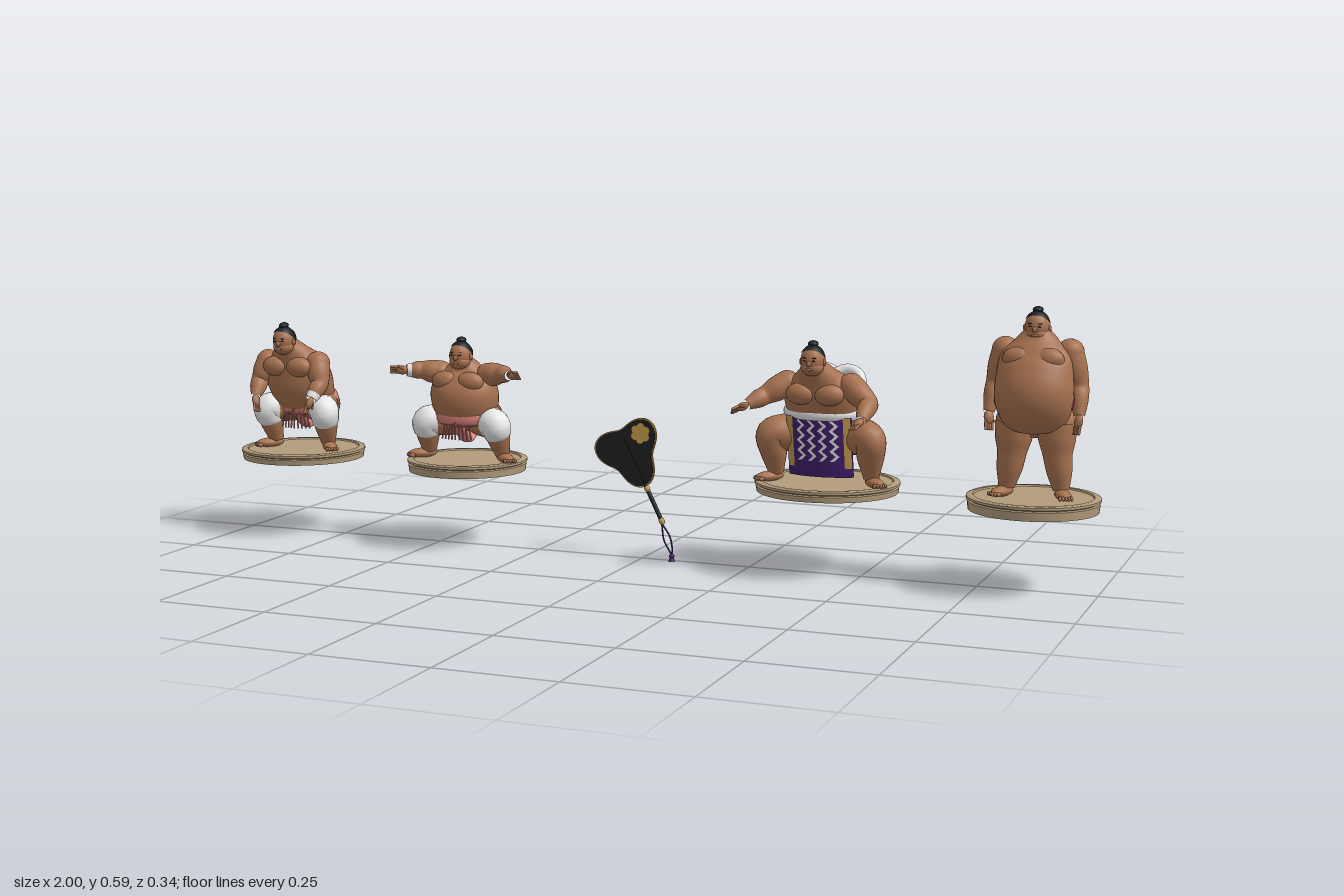
import * as THREE from 'three';
import { toCreasedNormals } from 'three/addons/utils/BufferGeometryUtils.js';

const mat = (name, color, side = THREE.FrontSide) => {
  const m = new THREE.MeshStandardMaterial({ color, side });
  m.name = name;
  return m;
};
const M = {
  skin: mat('skin', 0xa87250),
  hair: mat('black', 0x1f1f21),
  tan: mat('stand tan', 0xb39c7c),
  maroon: mat('maroon', 0x80303f),
  pink: mat('pink', 0xd9807a),
  white: mat('white', 0xececec, THREE.DoubleSide),
  purple: mat('purple', 0x42206e, THREE.DoubleSide),
  gold: mat('gold', 0xc09a48, THREE.DoubleSide),
};
const V = (p) => new THREE.Vector3(p[0], p[1], p[2]);

function add(parent, name, geo, material, pos = [0, 0, 0]) {
  const m = new THREE.Mesh(geo, material);
  m.name = name;
  m.position.set(...pos);
  parent.add(m);
  return m;
}
function ball(parent, name, material, pos, scale, w = 20, h = 14) {
  return add(parent, name, new THREE.SphereGeometry(1, w, h).scale(...scale), material, pos);
}

// Smooth tube through sections [x, y, z, radiusA, radiusB]
function sweep(sections, ref, steps = 24, around = 20) {
  const path = new THREE.CatmullRomCurve3(sections.map(V));
  const size = new THREE.CatmullRomCurve3(sections.map((s) => V([s[3], s[4] ?? s[3], 0])), false, 'catmullrom', 0.4);
  const pos = [], idx = [];
  for (let i = 0; i <= steps; i++) {
    const t = i / steps, c = path.getPoint(t), d = path.getTangent(t), r = size.getPoint(t);
    const a = V(ref).addScaledVector(d, -V(ref).dot(d)).normalize();
    const b = d.clone().cross(a);
    for (let j = 0; j < around; j++) {
      const u = (j / around) * Math.PI * 2;
      const p = c.clone().addScaledVector(a, Math.cos(u) * Math.max(r.x, 0.0005)).addScaledVector(b, Math.sin(u) * Math.max(r.y, 0.0005));
      pos.push(p.x, p.y, p.z);
      if (i < steps) {
        const k = i * around + j, n = i * around + ((j + 1) % around);
        idx.push(k, n, k + around, n, n + around, k + around);
      }
    }
  }
  const g = new THREE.BufferGeometry();
  g.setAttribute('position', new THREE.Float32BufferAttribute(pos, 3));
  g.setIndex(idx);
  g.computeVertexNormals();
  return g;
}
const LIMB = [0, 0.3, 0.95];
const mix = (a, b, t) => a.map((v, i) => v + (b[i] - v) * t);

// Round stand with a moulded edge and a shallow rim
function stand(parent, r, t) {
  const pts = [[0, -t], [r - 0.004, -t], [r - 0.002, -0.012], [r - 0.006, -0.01], [r, -0.007], [r, -0.002],
    [r - 0.004, 0], [r - 0.014, 0], [r - 0.016, -0.003], [0, -0.003]].map((p) => new THREE.Vector2(...p));
  add(parent, 'stand', toCreasedNormals(new THREE.LatheGeometry(pts, 64), 0.5), M.tan);
}

function head(parent, pos, tilt) {
  const g = new THREE.Group();
  g.name = 'head';
  g.position.set(...pos);
  g.rotation.x = tilt;
  parent.add(g);
  ball(g, 'skull', M.skin, [0, 0, 0], [0.025, 0.031, 0.027]);
  ball(g, 'jaw', M.skin, [0, -0.014, 0.005], [0.024, 0.018, 0.021]);
  ball(g, 'nose', M.skin, [0, -0.004, 0.027], [0.005, 0.006, 0.005], 10, 8);
  ball(g, 'lips', M.skin, [0, -0.016, 0.025], [0.007, 0.003, 0.003], 10, 8);
  const cap = new THREE.SphereGeometry(1, 24, 12, 0, Math.PI * 2, 0, 1.4).rotateX(-0.65).scale(0.0268, 0.033, 0.029);
  add(g, 'hair', cap, M.hair);
  ball(g, 'hairBack', M.hair, [0, 0.004, -0.015], [0.022, 0.022, 0.016]);
  ball(g, 'topknot', M.hair, [0, 0.034, -0.004], [0.011, 0.007, 0.013], 14, 10);
  for (const s of [-1, 1]) {
    ball(g, 'ear', M.skin, [s * 0.025, -0.003, 0], [0.004, 0.008, 0.005], 10, 8);
    ball(g, 'eye', M.hair, [s * 0.009, 0.002, 0.0245], [0.004, 0.0014, 0.002], 8, 6);
    ball(g, 'brow', M.hair, [s * 0.01, 0.008, 0.0235], [0.005, 0.0011, 0.002], 8, 6);
  }
}

function hand(parent, wrist, dir, s) {
  const g = new THREE.Group();
  g.name = 'hand';
  g.position.set(...wrist);
  g.quaternion.setFromUnitVectors(new THREE.Vector3(0, 1, 0), dir);
  parent.add(g);
  ball(g, 'palm', M.skin, [0, 0.01, 0], [0.011, 0.015, 0.008], 12, 10);
  for (let i = 0; i < 4; i++) {
    add(g, 'finger', new THREE.CapsuleGeometry(0.0029, 0.014, 3, 8), M.skin, [(i - 1.5) * 0.0052, 0.028, 0]);
  }
  const thumb = add(g, 'thumb', new THREE.CapsuleGeometry(0.003, 0.01, 3, 8), M.skin, [-s * 0.011, 0.014, 0.005]);
  thumb.rotation.z = s * 0.6;
}

function foot(parent, ankle, yaw) {
  const g = new THREE.Group();
  g.name = 'foot';
  g.position.set(ankle[0], 0, ankle[2]);
  g.rotation.y = yaw;
  parent.add(g);
  ball(g, 'sole', M.skin, [0, 0.007, 0.016], [0.016, 0.011, 0.034], 16, 10);
  for (let i = 0; i < 5; i++) ball(g, 'toe', M.skin, [(i - 2) * 0.006, 0.004, 0.047 - Math.abs(i - 2) * 0.002], [0.0036, 0.005, 0.007], 8, 6);
}

function belt(parent, material, [y, z, rx, rz, h, tilt]) {
  const g = new THREE.TorusGeometry(1, 0.12, 12, 48).rotateX(Math.PI / 2).scale(rx, h / 0.24, rz);
  add(parent, 'belt', g, material, [0, y, z]).rotation.x = tilt;
  // strap running between the legs, with a knot at the back
  const strap = [[0, y, z + rz], [0, y - 0.035, z + rz * 0.6], [0, y - 0.06, z], [0, y - 0.035, z - rz * 0.75], [0, y, z - rz * 1.08]];
  add(parent, 'strap', sweep(strap.map((p) => [...p, 0.014, 0.006]), [1, 0, 0], 20, 10), material);
  ball(parent, 'knot', material, [0, y + tilt * rz, z - rz * 1.1], [0.016, h * 0.5, 0.007], 12, 8);
}

// One wrestler: torso sections [y, z, rx, rz], arms and legs as joint positions
function wrestler(o) {
  const g = new THREE.Group();
  g.name = o.name;
  g.position.set(o.x, 0.2, o.z);
  stand(g, o.r, o.t);
  add(g, 'torso', sweep(o.torso.map(([y, z, a, b]) => [0, y, z, a, b]), [1, 0, 0], 40, 36), M.skin);
  head(g, o.head, o.tilt);
  for (const s of [-1, 1]) {
    const side = (p) => [p[0] * s, p[1], p[2]];
    const [sh, el, wr, tip] = (s < 0 && o.armRight ? o.armRight : o.arm).map(side);
    const arm = [[...sh, 0.027], [...mix(sh, el, 0.5), 0.026], [...el, 0.02], [...mix(el, wr, 0.4), 0.019], [...wr, 0.011]];
    add(g, 'arm', sweep(arm, LIMB), M.skin);
    ball(g, 'shoulder', M.skin, sh, [0.028, 0.027, 0.027]);
    hand(g, wr, V(tip).sub(V(wr)).normalize(), s);
    if (o.wristband === s) add(g, 'wristband', sweep([[...mix(el, wr, 0.7), 0.0165], [...wr, 0.0135]], LIMB, 4), M.white);

    const [hip, kn, an] = o.leg.map(side);
    const [rh, rk] = o.legSize;
    const leg = [[...hip, rh], [...mix(hip, kn, 0.5), (rh + rk) / 2 + 0.002], [...kn, rk], [...mix(kn, an, 0.45), rk * 0.88], [...an, 0.017]];
    add(g, 'leg', sweep(leg, LIMB, 30), M.skin);
    ball(g, 'buttock', M.skin, [hip[0], hip[1], hip[2] - 0.008], [rh, rh, rh]);
    foot(g, an, s * o.yaw);
    if (o.pads) {
      const pad = [[...mix(hip, kn, 0.5), rk * 0.8], [...mix(hip, kn, 0.7), rk * 1.14], [...kn, rk * 1.12], [...mix(kn, an, 0.35), rk], [...mix(kn, an, 0.5), rk * 0.7]];
      add(g, 'kneePad', sweep(pad, LIMB), M.white);
    }
    ball(g, 'chest', M.skin, [s * 0.031, o.chest[0], o.chest[1]], [0.032, 0.023, 0.02]);
  }
  if (o.belt) belt(g, o.beltColor, o.belt);
  // hanging cords at the front of the belt
  if (o.cords) for (let i = -4; i <= 4; i++) {
    const c = add(g, 'beltCord', new THREE.CylinderGeometry(0.0018, 0.0018, 0.045, 6), M.pink, [i * 0.008, 0.07, o.cords - Math.abs(i) * 0.002]);
    c.rotation.z = i * 0.05;
  }
  return g;
}

// Waist rope with raised loops, and the decorated apron
function ceremonialDress(g) {
  add(g, 'waistRope', new THREE.TorusGeometry(1, 0.15, 14, 48).rotateX(Math.PI / 2).scale(0.078, 0.09, 0.062), M.white, [0, 0.15, 0.022]);
  for (const s of [-1, 1]) {
    add(g, 'ropeLoop', new THREE.TorusGeometry(0.033, 0.012, 12, 32), M.white, [s * 0.026, 0.203, -0.044 + s * 0.003]).rotation.x = -0.55;
  }
  const bend = (geo, lift) => {
    const p = geo.attributes.position;
    for (let i = 0; i < p.count; i++) {
      const x = p.getX(i), y = p.getY(i);
      p.setZ(i, 0.06 + y * 0.2 - 4 * x * x + lift);
    }
    geo.computeVertexNormals();
    return geo;
  };
  add(g, 'apron', bend(new THREE.PlaneGeometry(0.142, 0.13, 14, 6).translate(0, 0.08, 0), 0), M.purple);
  for (const s of [-1, 1]) add(g, 'apronEdge', bend(new THREE.PlaneGeometry(0.014, 0.11, 4, 6).translate(s * 0.062, 0.09, 0), 0.002), M.gold);
  for (const x of [-0.036, -0.012, 0.012, 0.036]) {
    const left = [], right = [];
    for (let i = 0; i <= 8; i++) {
      const zx = x + (i % 2 ? 0.006 : -0.006), y = 0.05 + i * 0.011;
      left.push(new THREE.Vector2(zx - 0.004, y));
      right.unshift(new THREE.Vector2(zx + 0.004, y));
    }
    add(g, 'zigzag', bend(new THREE.ShapeGeometry(new THREE.Shape([...left, ...right])), 0.002), M.white);
  }
  add(g, 'understrap', sweep([[0, 0.13, 0.07, 0.02, 0.006], [0, 0.075, 0.03, 0.016, 0.006], [0, 0.1, -0.03, 0.014, 0.006], [0, 0.15, -0.04, 0.014, 0.006]], [1, 0, 0], 16, 10), M.white);
}

// Three-lobed fan with handle, cords and tassel
function fan() {
  const root = new THREE.Group();
  root.name = 'fan';
  const g = new THREE.Group();
  g.name = 'fanBody';
  g.position.set(-0.026, 0.238, 0.005);
  g.rotation.z = 0.46;
  root.add(g);
  const plate = (k, depth) => {
    const pts = [];
    for (let i = 0; i < 72; i++) {
      const u = (i / 72) * Math.PI * 2, r = k * (0.066 + 0.015 * Math.cos(3 * (u - Math.PI / 6)));
      pts.push(new THREE.Vector2(r * Math.cos(u), r * Math.sin(u)));
    }
    return new THREE.ExtrudeGeometry(new THREE.Shape(pts), { depth, bevelEnabled: false }).translate(0, 0, -depth / 2);
  };
  add(g, 'fanFace', plate(1, 0.009), M.hair);
  add(g, 'fanRim', plate(1.04, 0.006), M.gold);
  for (const f of [-1, 1]) {
    const c = [f * 0.042, 0.026, f * 0.005];
    const disc = (r) => new THREE.CylinderGeometry(r, r, 0.002, 20).rotateX(Math.PI / 2);
    for (let i = 0; i < 6; i++) add(g, 'petal', disc(0.009), M.gold, [c[0] + 0.014 * Math.cos(i * 1.047), c[1] + 0.014 * Math.sin(i * 1.047), c[2]]);
    add(g, 'flowerCentre', disc(0.008), M.gold, c);
    add(g, 'spine', new THREE.BoxGeometry(0.004, 0.11, 0.002), M.hair, [0, -0.025, f * 0.005]);
  }
  add(g, 'handle', new THREE.CylinderGeometry(0.0048, 0.0048, 0.1, 12), M.hair, [0, -0.12, 0]);
  for (const y of [-0.09, -0.168]) ball(g, 'collar', M.gold, [0, y, 0], [0.0065, 0.009, 0.0065], 12, 10);
  for (const s of [-1, 1]) {
    const c = new THREE.CatmullRomCurve3([[0.049, 0.083, 0.006], [0.061 + s * 0.007, 0.05 + s * 0.004, 0.006], [0.069 + s * 0.005, 0.028, 0.007], [0.073, 0.014, 0.007]].map(V));
    add(root, 'cord', new THREE.TubeGeometry(c, 20, 0.0018, 6), M.purple);
  }
  ball(root, 'tasselKnot', M.purple, [0.073, 0.011, 0.007], [0.006, 0.006, 0.006], 12, 8);
  add(root, 'tassel', new THREE.CylinderGeometry(0.004, 0.008, 0.008, 12), M.purple, [0.073, 0.004, 0.007]);
  return root;
}

export function createModel() {
  const model = new THREE.Group();
  model.name = 'wrestlerSet';
  model.add(wrestler({
    name: 'crouchingWrestler', x: -0.857, z: 0, r: 0.143, t: 0.024,
    torso: [[0.065, -0.025, 0.01, 0.01], [0.085, -0.025, 0.055, 0.045], [0.12, -0.012, 0.072, 0.06], [0.16, 0.01, 0.08, 0.062], [0.2, 0.03, 0.077, 0.048], [0.228, 0.048, 0.045, 0.032], [0.25, 0.066, 0.022, 0.022]],
    head: [0, 0.257, 0.075], tilt: 0.1, chest: [0.195, 0.064],
    arm: [[0.066, 0.203, 0.038], [0.08, 0.158, 0.055], [0.074, 0.125, 0.085], [0.066, 0.1, 0.094]], wristband: 1,
    leg: [[0.036, 0.098, -0.02], [0.075, 0.09, 0.03], [0.07, 0.015, 0.005]], legSize: [0.042, 0.03], yaw: 0.7, pads: true,
    beltColor: M.pink, belt: [0.108, -0.02, 0.069, 0.056, 0.034, 0.25], cords: 0.04,
  }));
  model.add(wrestler({
    name: 'balancingWrestler', x: -0.428, z: 0, r: 0.136, t: 0.028,
    torso: [[0.06, -0.005, 0.01, 0.01], [0.08, -0.005, 0.055, 0.045], [0.11, 0.002, 0.074, 0.06], [0.145, 0.01, 0.08, 0.064], [0.18, 0.01, 0.072, 0.05], [0.205, 0.012, 0.045, 0.032], [0.225, 0.02, 0.022, 0.022]],
    head: [0, 0.236, 0.027], tilt: 0, chest: [0.178, 0.044],
    arm: [[0.06, 0.192, 0.01], [0.1, 0.198, 0.025], [0.128, 0.198, 0.045], [0.156, 0.2, 0.06]], wristband: -1,
    leg: [[0.036, 0.09, -0.012], [0.086, 0.082, 0.03], [0.092, 0.015, 0.008]], legSize: [0.042, 0.03], yaw: 0.85, pads: true,
    beltColor: M.pink, belt: [0.1, 0, 0.069, 0.056, 0.032, 0.1], cords: 0.06,
  }));
  model.add(fan());
  const champion = wrestler({
    name: 'ceremonialWrestler', x: 0.417, z: -0.023, r: 0.155, t: 0.024,
    torso: [[0.07, 0.01, 0.01, 0.01], [0.09, 0.01, 0.055, 0.045], [0.125, 0.018, 0.075, 0.058], [0.165, 0.036, 0.081, 0.058], [0.205, 0.064, 0.078, 0.047], [0.235, 0.087, 0.045, 0.032], [0.258, 0.105, 0.023, 0.023]],
    head: [0, 0.268, 0.115], tilt: 0.05, chest: [0.195, 0.098],
    arm: [[0.07, 0.212, 0.068], [0.115, 0.18, 0.095], [0.115, 0.153, 0.15], [0.105, 0.137, 0.185]],
    armRight: [[0.07, 0.212, 0.068], [0.11, 0.187, 0.095], [0.138, 0.17, 0.13], [0.16, 0.16, 0.152]],
    leg: [[0.045, 0.105, 0.004], [0.108, 0.1, 0.055], [0.105, 0.015, 0.03]], legSize: [0.046, 0.033], yaw: 0.7,
  });
  ceremonialDress(champion);
  model.add(champion);
  model.add(wrestler({
    name: 'standingWrestler', x: 0.863, z: 0, r: 0.137, t: 0.03,
    torso: [[0.12, 0, 0.01, 0.01], [0.145, 0, 0.055, 0.04], [0.175, 0.016, 0.074, 0.056], [0.21, 0.028, 0.08, 0.064], [0.25, 0.022, 0.078, 0.058], [0.29, 0.012, 0.072, 0.044], [0.32, 0.006, 0.045, 0.032], [0.345, 0.006, 0.023, 0.023]],
    head: [0, 0.347, 0.01], tilt: 0, chest: [0.285, 0.042],
    arm: [[0.066, 0.297, -0.003], [0.085, 0.228, -0.005], [0.092, 0.17, 0.022], [0.088, 0.13, 0.032]],
    leg: [[0.042, 0.15, -0.004], [0.047, 0.085, 0], [0.056, 0.015, 0]], legSize: [0.042, 0.03], yaw: 0.4,
    beltColor: M.maroon, belt: [0.2, 0.012, 0.075, 0.051, 0.04, 0.12],
  }));
  return model;
}
